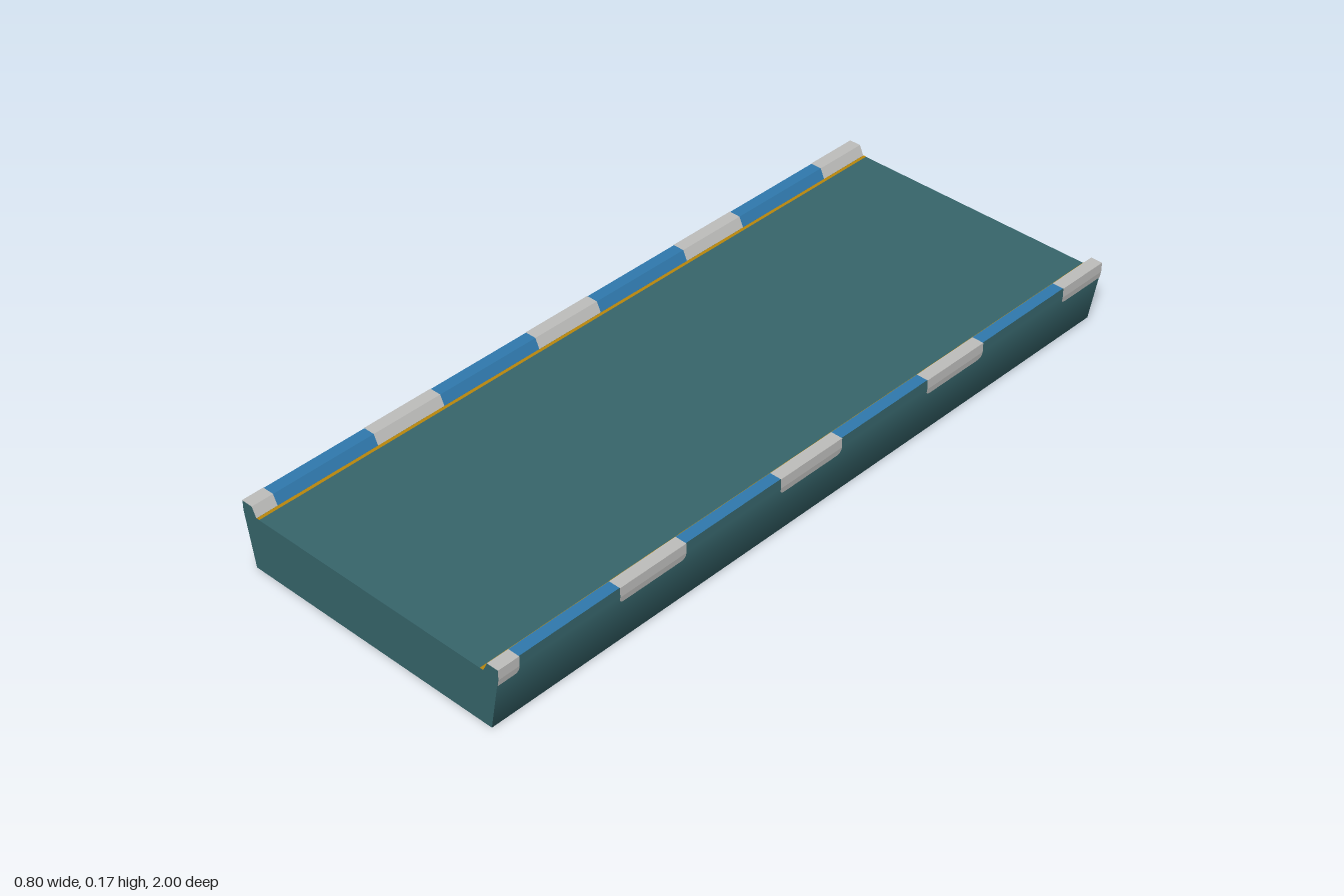
import * as THREE from 'three';

const mat = (name, color) => {
  const m = new THREE.MeshStandardMaterial({ color });
  m.name = name;
  return m;
};

// Half cross-section, from the foot of the wall up over the kerb to the deck
const FOOT = [0.372, 0], SHOULDER = [0.398, 0.148], RIM = [0.398, 0.174];
const CREST = [0.367, 0.174], GUTTER = [0.355, 0.148];
const LIP = 0.13; // lower edge of the pale kerb blocks on the wall
const wallX = y => FOOT[0] + (SHOULDER[0] - FOOT[0]) * Math.min(1, y / SHOULDER[1]);

// Ribbon along z over a counter-clockwise profile; optional normals give soft shading
function ribbon(profile, z0, z1, normals) {
  const pos = [], nor = [];
  for (let i = 0; i < profile.length - 1; i++) {
    const a = profile[i], b = profile[i + 1];
    const l = Math.hypot(b[0] - a[0], b[1] - a[1]);
    const flat = [(b[1] - a[1]) / l, (a[0] - b[0]) / l];
    const na = normals ? normals[i] : flat, nb = normals ? normals[i + 1] : flat;
    for (const [p, z, n] of [[a, z0, na], [b, z0, nb], [b, z1, nb], [a, z0, na], [b, z1, nb], [a, z1, na]]) {
      pos.push(p[0], p[1], z);
      nor.push(n[0], n[1], 0);
    }
  }
  const g = new THREE.BufferGeometry();
  g.setAttribute('position', new THREE.Float32BufferAttribute(pos, 3));
  g.setAttribute('normal', new THREE.Float32BufferAttribute(nor, 3));
  return g;
}

// Lower flap of a pale block, lying on the sloping wall, with rounded lower corners
function flap(z0, z1, side) {
  const r = 0.014, top = SHOULDER[1], r0 = z0 <= -1 ? 0 : r, r1 = z1 >= 1 ? 0 : r;
  const s = new THREE.Shape();
  s.moveTo(z0, top);
  s.lineTo(z0, LIP + r0);
  s.quadraticCurveTo(z0, LIP, z0 + r0, LIP);
  s.lineTo(z1 - r1, LIP);
  s.quadraticCurveTo(z1, LIP, z1, LIP + r1);
  s.lineTo(z1, top);
  const g = new THREE.ShapeGeometry(s, 5);
  const p = g.attributes.position;
  for (let i = 0; i < p.count; i++) {
    const z = p.getX(i), y = p.getY(i);
    p.setXYZ(i, side * (wallX(y) + 0.0015), y, z);
  }
  // The +x side swaps handedness, so reverse its faces
  if (side > 0) g.setIndex(Array.from(g.index.array).reverse());
  g.computeVertexNormals();
  return g;
}

export function createModel() {
  const group = new THREE.Group();
  group.name = 'roadSection';
  const teal = mat('teal', 0x36646a);
  const blue = mat('blue', 0x2f78ac);
  const pale = mat('paleGrey', 0xbcbcba);
  const yellow = mat('yellow', 0xb8860b);
  const add = (name, geometry, material) => {
    const m = new THREE.Mesh(geometry, material);
    m.name = name;
    group.add(m);
  };

  // Deck and underside
  add('deck', ribbon([GUTTER, [-GUTTER[0], GUTTER[1]]], -1, 1), teal);
  add('underside', ribbon([[-FOOT[0], 0], FOOT], -1, 1), teal);

  // End caps
  const half = [FOOT, SHOULDER, RIM, CREST, GUTTER];
  const outline = [...half, ...half.map(([x, y]) => [-x, y]).reverse()];
  const shape = new THREE.Shape(outline.map(([x, y]) => new THREE.Vector2(x, y)));
  add('frontEnd', new THREE.ShapeGeometry(shape).translate(0, 0, 1), teal);
  add('backEnd', new THREE.ShapeGeometry(shape).rotateY(Math.PI).translate(0, 0, -1), teal);

  // Kerb pattern along z: pale blocks with blue lengths between them
  const blocks = [[-1, -0.85], [-0.55, -0.35], [-0.055, 0.147], [0.447, 0.648], [0.94, 1]];

  for (const side of [1, -1]) {
    const label = side > 0 ? 'left' : 'right';
    const turn = list => side > 0 ? list : list.map(([x, y]) => [-x, y]).reverse();
    const strip = (profile, z0, z1, normals) =>
      ribbon(turn(profile), z0, z1, normals && turn(normals));

    // Wall, softly shaded into the underside
    add(label + 'Wall', strip([FOOT, SHOULDER, RIM], -1, 1,
      [[0.4, -0.917], [1, 0], [1, 0]]), teal);

    // Edge line on the deck
    add(label + 'EdgeLine', strip([[0.354, 0.1488], [0.345, 0.1488]], -1, 1), yellow);

    const kerb = [RIM, CREST, GUTTER];
    blocks.forEach(([z0, z1], i) => {
      add(label + 'PaleKerb', strip(kerb, z0, z1), pale);
      const out = 0.0015;
      add(label + 'PaleKerbFace', strip([[SHOULDER[0] + out, SHOULDER[1]],
        [RIM[0] + out, RIM[1]], RIM], z0, z1), pale);
      add(label + 'PaleKerbFlap', flap(z0, z1, side), pale);
      if (i < blocks.length - 1) {
        add(label + 'BlueKerb', strip(kerb, z1, blocks[i + 1][0]), blue);
      }
    });
  }
  return group;
}
